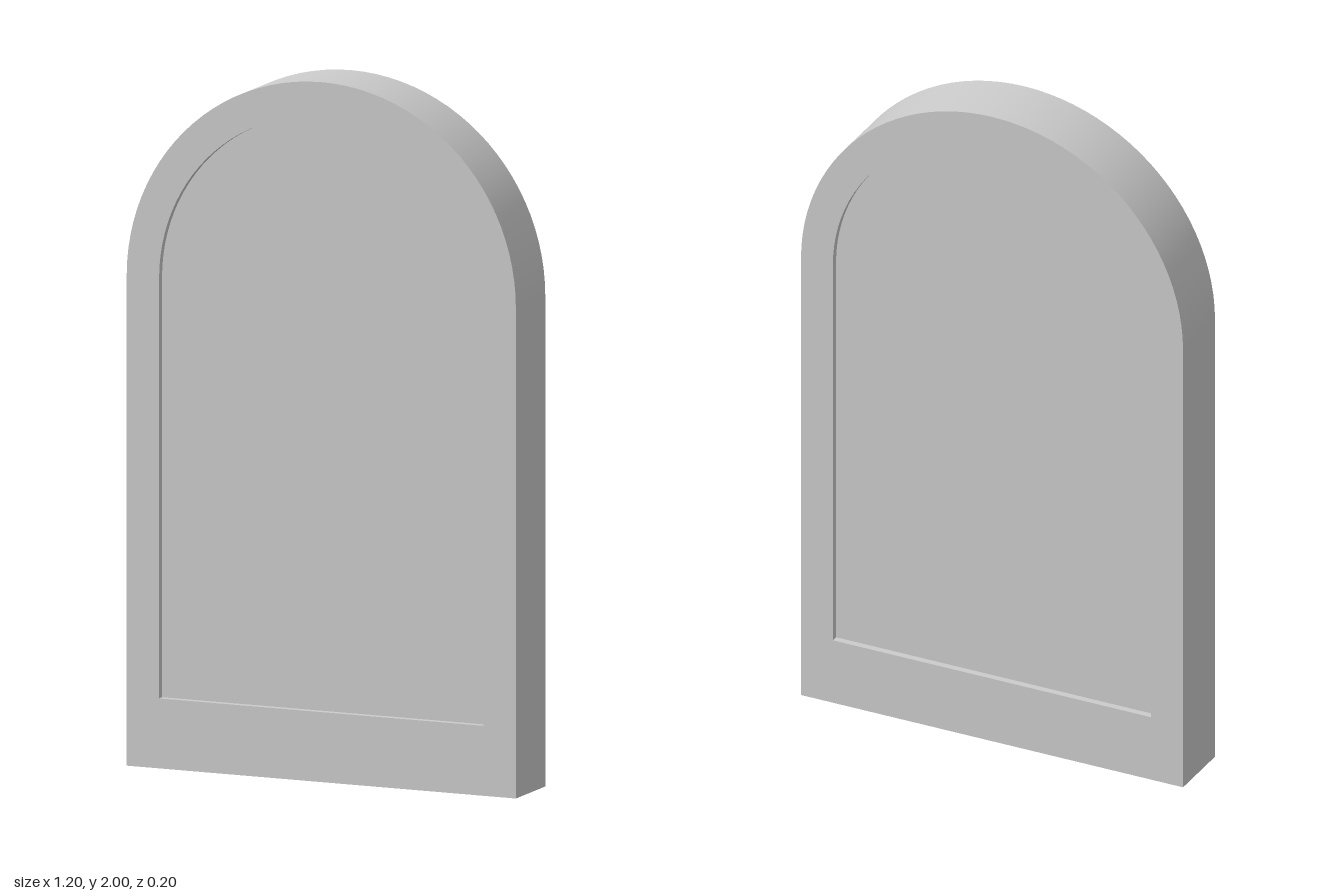
import * as THREE from 'three';

const SPRING = 1.4;      // height where the arch begins
const HALF = 0.1;        // half of the thickness
const RECESS = 0.02;     // depth of the sunken panels
const SEGMENTS = 48;

const material = new THREE.MeshStandardMaterial({ color: 0xcccccc, side: THREE.DoubleSide });

// Arch line from the bottom right, over the top, to the bottom left
function archPoints(radius, base) {
  const points = [new THREE.Vector2(radius, base)];
  for (let i = 0; i <= SEGMENTS; i++) {
    const a = (Math.PI * i) / SEGMENTS;
    points.push(new THREE.Vector2(radius * Math.cos(a), SPRING + radius * Math.sin(a)));
  }
  points.push(new THREE.Vector2(-radius, base));
  return points;
}

// Smooth strip that follows a line between two depths
function ribbon(points, z0, z1) {
  const position = [];
  const index = [];
  points.forEach((p, i) => {
    position.push(p.x, p.y, z0, p.x, p.y, z1);
    if (i < points.length - 1) {
      const a = i * 2;
      index.push(a, a + 2, a + 1, a + 1, a + 2, a + 3);
    }
  });
  const geometry = new THREE.BufferGeometry();
  geometry.setAttribute('position', new THREE.Float32BufferAttribute(position, 3));
  geometry.setIndex(index);
  geometry.computeVertexNormals();
  return geometry;
}

function addPart(parent, name, geometry, z = 0) {
  const mesh = new THREE.Mesh(geometry, material);
  mesh.name = name;
  mesh.position.z = z;
  parent.add(mesh);
}

// Frame face, sunken panel and the narrow reveal between them
function createFace(name) {
  const face = new THREE.Group();
  face.name = name;
  const outer = archPoints(0.6, 0);
  const inner = archPoints(0.5, 0.2);

  const frame = new THREE.Shape(outer);
  frame.holes.push(new THREE.Path(inner));
  addPart(face, 'frame', new THREE.ShapeGeometry(frame), HALF);
  addPart(face, 'panel', new THREE.ShapeGeometry(new THREE.Shape(inner)), HALF - RECESS);

  const sill = [new THREE.Vector2(0.5, 0.2), new THREE.Vector2(-0.5, 0.2)];
  addPart(face, 'archReveal', ribbon([...inner].reverse(), HALF - RECESS, HALF));
  addPart(face, 'sillReveal', ribbon(sill, HALF - RECESS, HALF));
  return face;
}

export function createModel() {
  const model = new THREE.Group();
  model.name = 'archedPanel';

  // Outer wall, open underneath
  addPart(model, 'outerWall', ribbon(archPoints(0.6, 0), -HALF, HALF));

  // The same face on both sides
  const back = createFace('backFace');
  back.rotation.y = Math.PI;
  model.add(createFace('frontFace'), back);
  return model;
}
